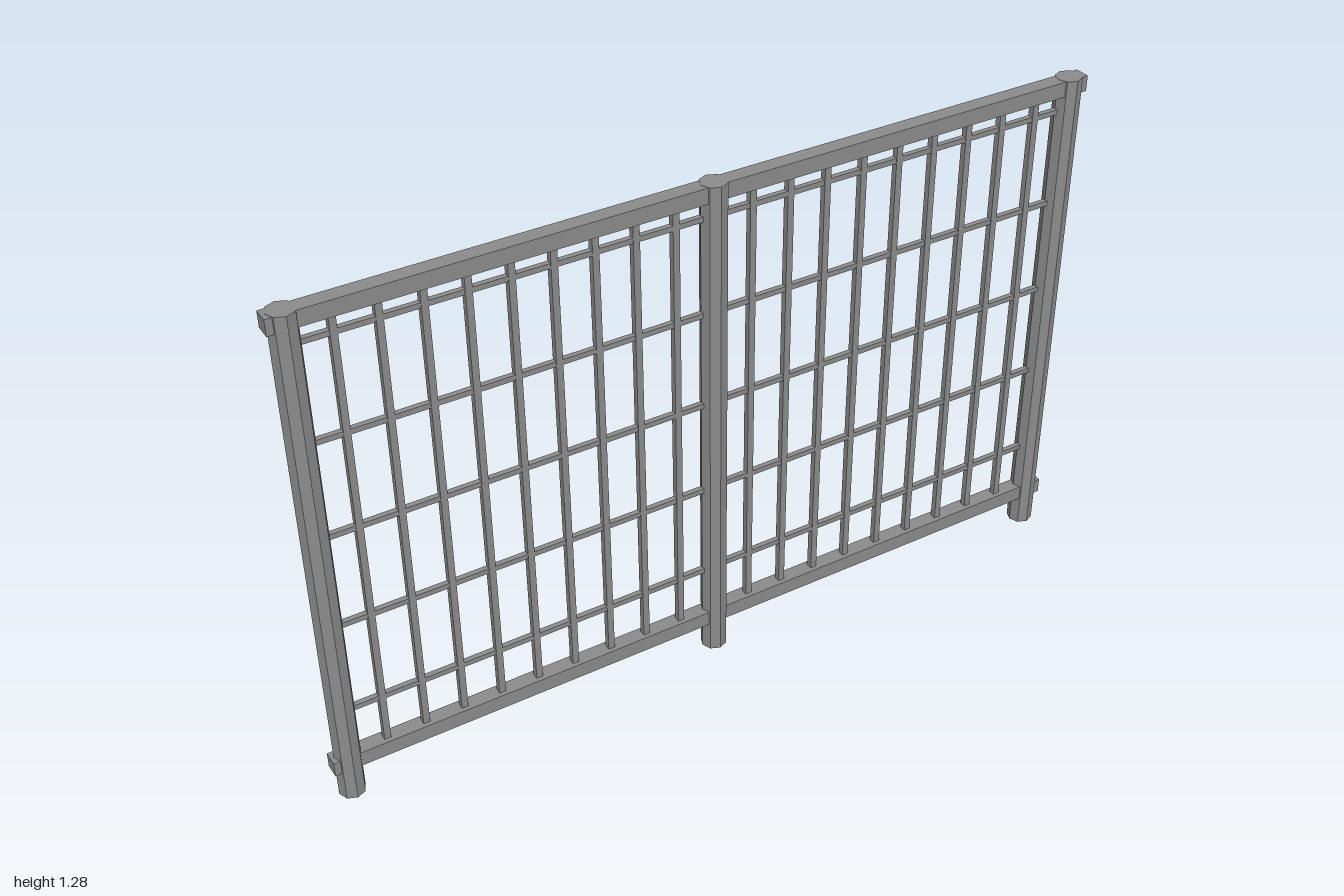
import * as THREE from 'three';

const material = new THREE.MeshStandardMaterial({ color: 0x8b8b8b, flatShading: true });

export function createModel() {
  const fence = new THREE.Group();
  fence.name = 'fencePanel';

  const add = (name, geometry, x, y) => {
    const mesh = new THREE.Mesh(geometry, material);
    mesh.name = name;
    mesh.position.set(x, y, 0);
    fence.add(mesh);
  };

  // Octagonal posts at both ends and in the middle
  const post = new THREE.CylinderGeometry(0.032, 0.032, 1.281, 8);
  for (const x of [-0.96, 0, 0.96]) add('post', post, x, 0.6405);

  // Square top and bottom rails running past the end posts
  const rail = new THREE.BoxGeometry(2, 0.0385, 0.0385);
  add('topRail', rail, 0, 1.261);
  add('bottomRail', rail, 0, 0.096);

  // Square upright bars between the rails
  const upright = new THREE.BoxGeometry(0.016, 1.14, 0.016);
  for (let i = -9; i <= 9; i++) {
    if (i !== 0) add('uprightBar', upright, i * 0.096, 0.68);
  }

  // Thinner square cross bars from end post to end post
  const cross = new THREE.BoxGeometry(1.92, 0.013, 0.013);
  for (let i = 1; i <= 5; i++) add('crossBar', cross, 0, i * 0.24);

  return fence;
}
